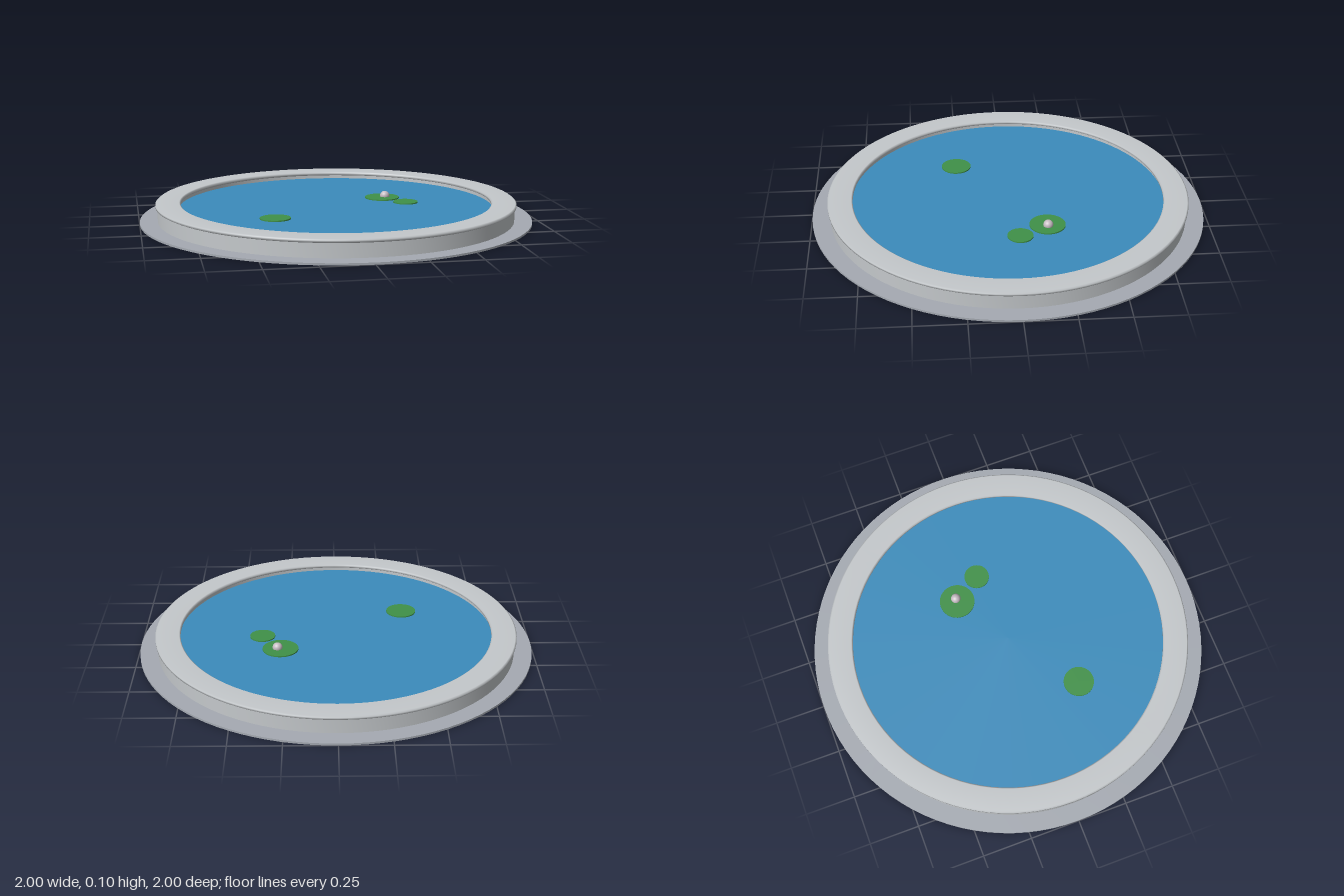
import * as THREE from 'three';
import { toCreasedNormals } from 'three/addons/utils/BufferGeometryUtils.js';

const SEGMENTS = 96;

function material(name, color) {
  const m = new THREE.MeshStandardMaterial({ color });
  m.name = name;
  return m;
}

// Revolve a closed [radius, height] profile: up the outside, down the inside
function revolve(profile) {
  const pts = [...profile, profile[0]].map(([r, y]) => new THREE.Vector2(r, y));
  return new THREE.LatheGeometry(pts, SEGMENTS);
}

// Square-edged ring with crisp corners
function ring(inner, outer, y0, y1) {
  return toCreasedNormals(revolve([[outer, y0], [outer, y1], [inner, y1], [inner, y0]]), 0.6);
}

export function createModel() {
  const pond = new THREE.Group();
  pond.name = 'pond';

  const stone = material('pale stone', 0xc4c8cb);
  const paving = material('grey paving', 0xa5aab2);
  const floorBlue = material('dark floor', 0x1f2e48);
  const waterBlue = material('water blue', 0x3b8cbc);
  const leafGreen = material('leaf green', 0x409148);
  const budGrey = material('bud pale', 0xc6bcc2);

  function add(name, geometry, mat, x = 0, y = 0, z = 0) {
    const mesh = new THREE.Mesh(geometry, mat);
    mesh.name = name;
    mesh.position.set(x, y, z);
    pond.add(mesh);
    return mesh;
  }

  // Paved border and basin wall
  add('pavedBorder', ring(0.9, 1, 0, 0.01), paving);
  add('basinWall', ring(0.805, 0.91, 0, 0.085), stone);

  // Rounded coping, shaded softly across its top
  add('coping', revolve([
    [0.91, 0.08], [0.92, 0.085], [0.92, 0.095], [0.913, 0.1],
    [0.8, 0.1], [0.793, 0.095], [0.793, 0.085], [0.8, 0.08],
  ]), stone);

  // Basin floor and water
  add('basinFloor', new THREE.CylinderGeometry(0.805, 0.805, 0.01, SEGMENTS), floorBlue, 0, 0.005, 0);
  add('water', new THREE.CylinderGeometry(0.805, 0.805, 0.008, SEGMENTS), waterBlue, 0, 0.058, 0);

  // Lily pads: x, z, radius
  for (const [x, z, r] of [[0.28, -0.177, 0.09], [0.375, -0.035, 0.064], [-0.347, 0.254, 0.077]]) {
    add('lilyPad', new THREE.CylinderGeometry(r, r, 0.008, 40), leafGreen, x, 0.064, z);
  }

  // Bud resting on the largest pad
  add('lilyBud', new THREE.SphereGeometry(0.025, 24, 16), budGrey, 0.295, 0.073, -0.179);

  return pond;
}
